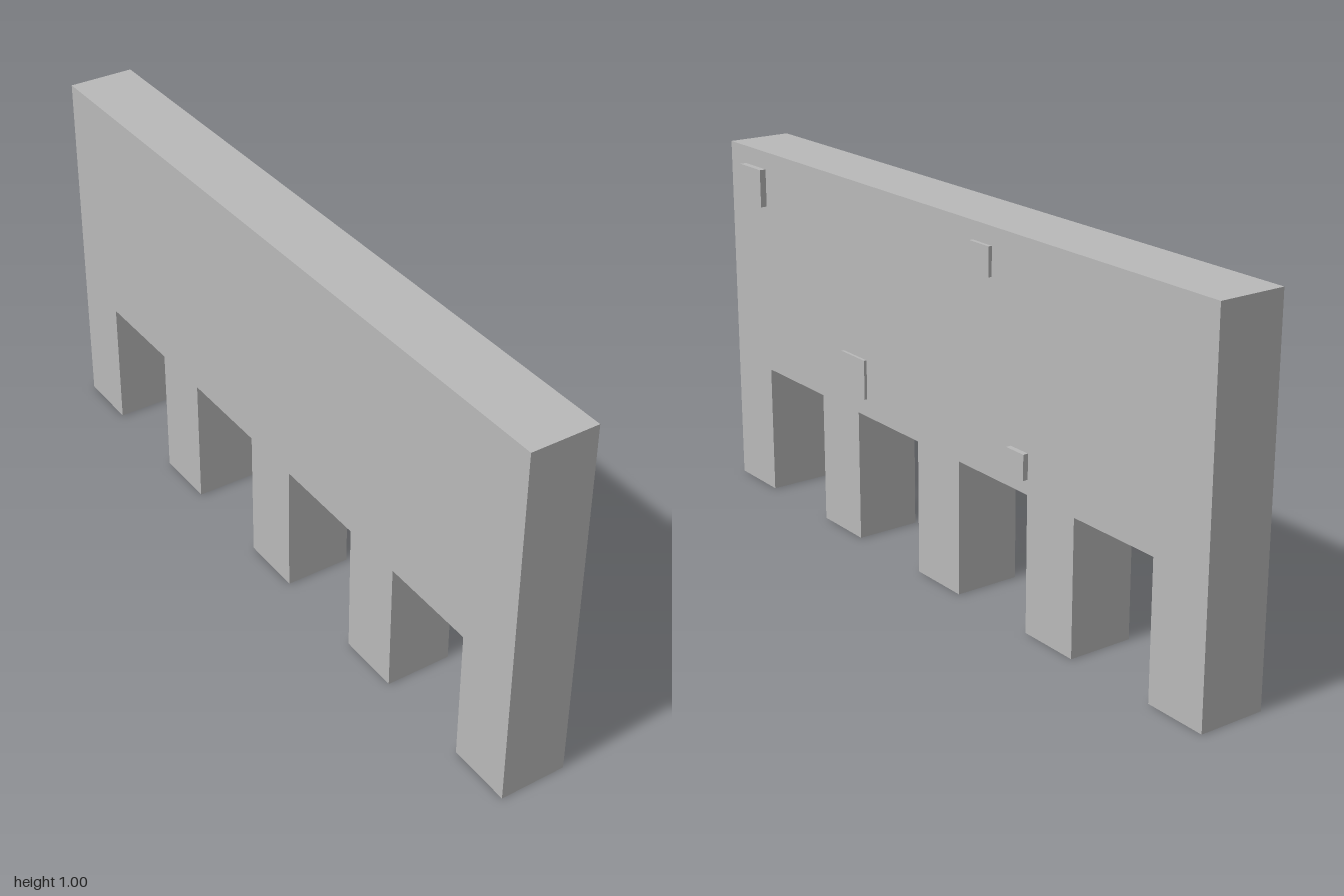
import * as THREE from 'three';

export function createModel() {
  const model = new THREE.Group();
  const stone = new THREE.MeshStandardMaterial({ color: 0xb9b9b9 });
  stone.name = 'grey stone';

  const back = -0.1, face = 0.082;
  const openingTop = 0.366, openingWidth = 0.278;

  // Wall outline with four square openings along the foot
  const outline = new THREE.Shape();
  outline.moveTo(-1, 0);
  for (const c of [-0.683, -0.228, 0.228, 0.683]) {
    const a = c - openingWidth / 2, b = c + openingWidth / 2;
    outline.lineTo(a, 0);
    outline.lineTo(a, openingTop);
    outline.lineTo(b, openingTop);
    outline.lineTo(b, 0);
  }
  outline.lineTo(1, 0);
  outline.lineTo(1, 1);
  outline.lineTo(-1, 1);
  outline.closePath();

  // Turned so that the wall runs along z and its thickness along x
  const wallGeometry = new THREE.ExtrudeGeometry(outline, { depth: face - back, bevelEnabled: false });
  wallGeometry.rotateY(Math.PI / 2).translate(back, 0, 0);
  const wall = new THREE.Mesh(wallGeometry, stone);
  wall.name = 'wall';
  model.add(wall);

  // Raised square stones on the left face: centre z, centre y, size, outer x
  const stones = [
    [0.869, 0.898, 0.105, 0.1],
    [0.379, 0.47, 0.109, 0.09],
    [-0.184, 0.914, 0.076, 0.092],
    [-0.335, 0.439, 0.067, 0.096],
  ];
  stones.forEach(([z, y, size, outer], i) => {
    const block = new THREE.Mesh(new THREE.BoxGeometry(outer - face, size, size), stone);
    block.position.set((outer + face) / 2, y, z);
    block.name = `raisedStone${i + 1}`;
    model.add(block);
  });

  return model;
}
